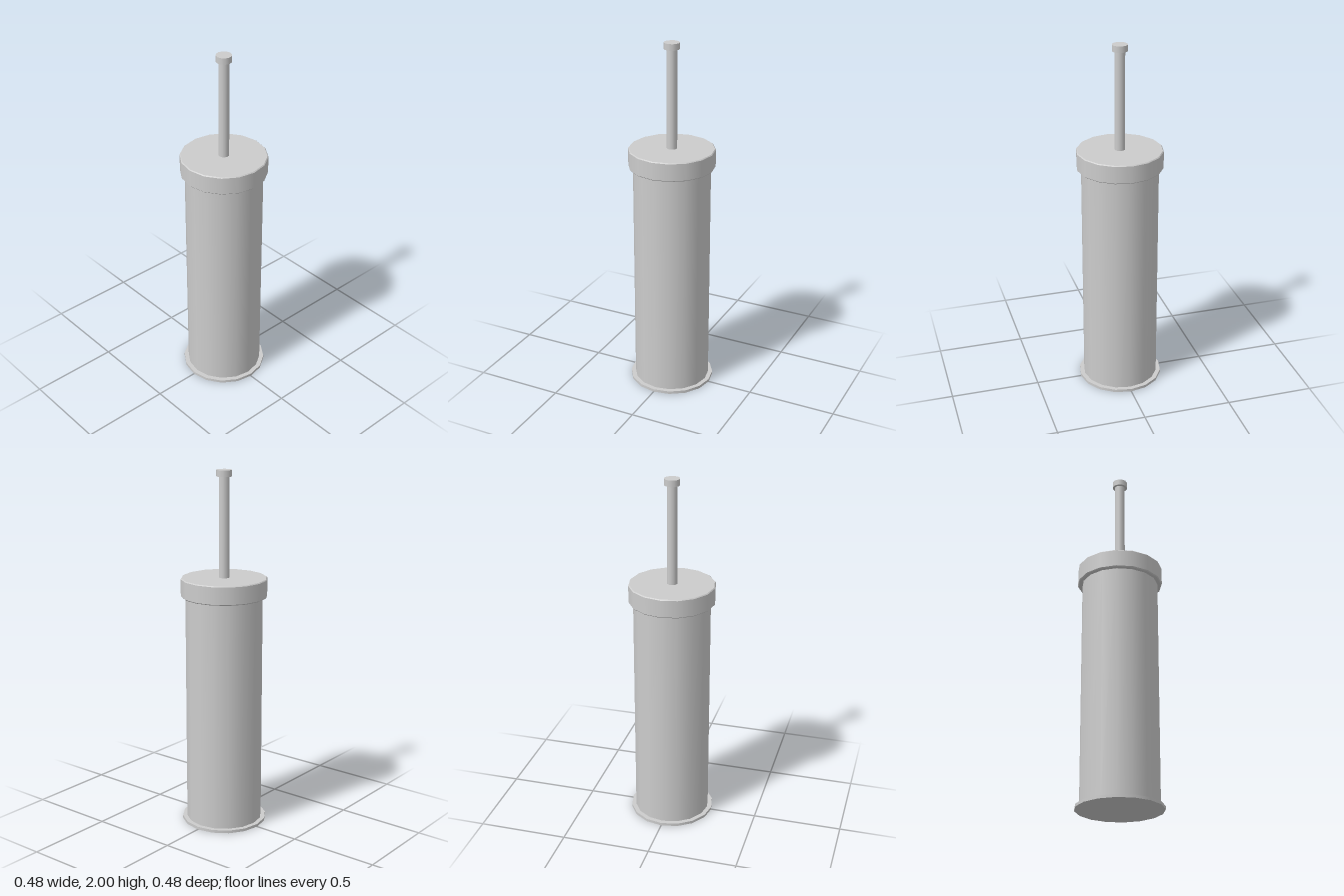
import * as THREE from 'three';

export function createModel() {
  const group = new THREE.Group();
  const steel = new THREE.MeshStandardMaterial({ color: 0xcccccc });
  steel.name = 'brushed steel';

  // Upright cylinder between two heights; r0 is the lower radius, r1 the upper
  const tube = (name, r0, r1, y0, y1, sides, open = false) => {
    const geometry = new THREE.CylinderGeometry(r1, r0, y1 - y0, sides, 1, open);
    const mesh = new THREE.Mesh(geometry, steel);
    mesh.name = name;
    mesh.position.y = (y0 + y1) / 2;
    group.add(mesh);
  };

  // Foot plate and container
  tube('basePlate', 0.239, 0.239, 0, 0.016, 16);
  tube('containerBody', 0.214, 0.214, 0.016, 1.315, 16);

  // Lid with a small bevel along both rims
  tube('lidLowerBevel', 0.234, 0.239, 1.31, 1.315, 16);
  tube('lidBand', 0.239, 0.239, 1.315, 1.41, 16, true);
  tube('lidUpperBevel', 0.239, 0.234, 1.41, 1.415, 16);

  // Handle rod and end knob
  tube('handleRod', 0.029, 0.029, 1.415, 1.965, 12);
  tube('handleKnob', 0.043, 0.043, 1.965, 2, 12);

  return group;
}
